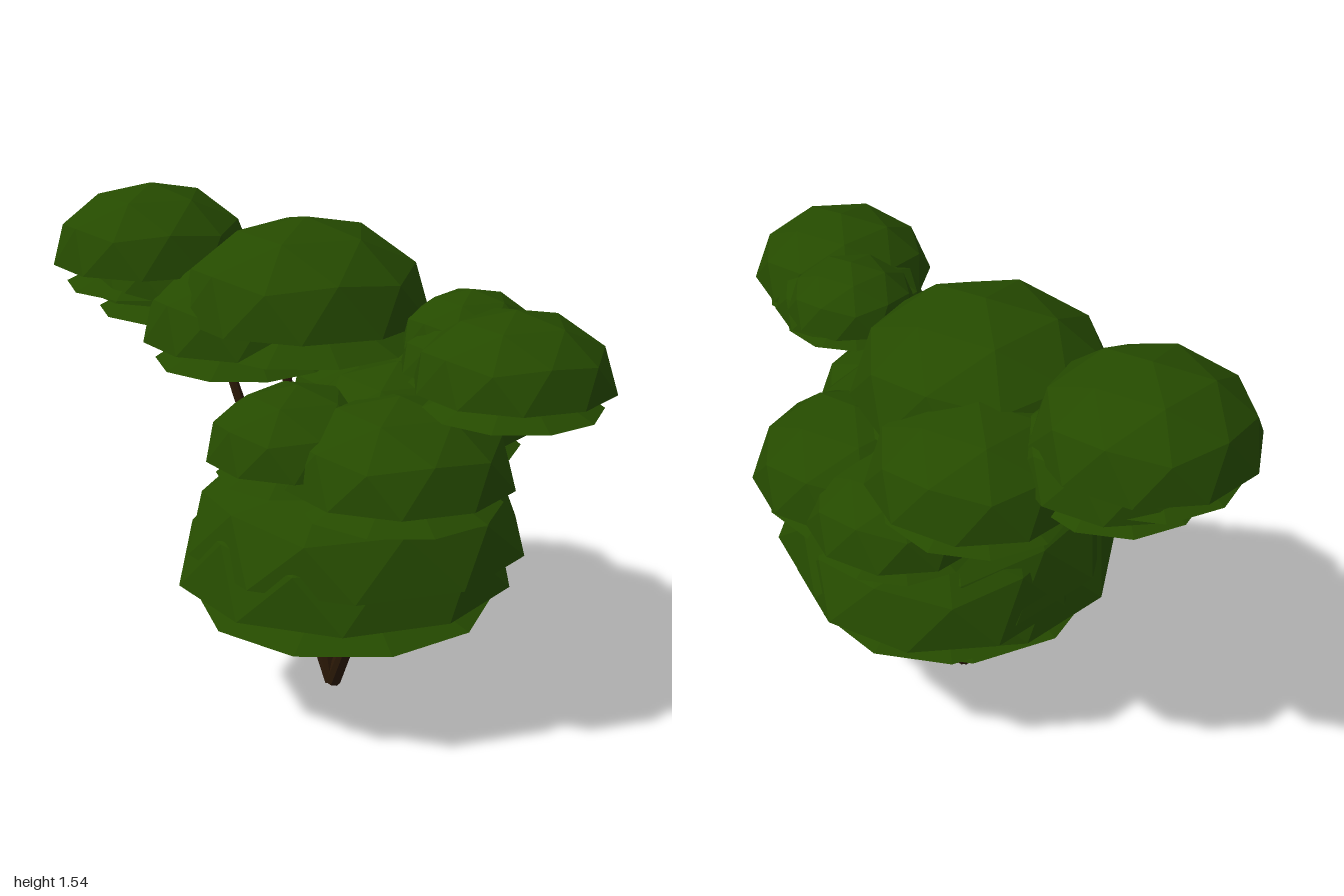
import * as THREE from 'three';

// Unit half icosphere, pole up
function makeDome() {
  const ball = new THREE.IcosahedronGeometry(1, 1);
  ball.rotateX(-Math.atan((1 + Math.sqrt(5)) / 2)).rotateY(Math.PI / 2);
  const src = ball.attributes.position.array;
  const points = [];
  for (let i = 0; i < src.length; i += 9) {
    if (Math.min(src[i + 1], src[i + 4], src[i + 7]) > -0.01) points.push(...src.slice(i, i + 9));
  }
  const dome = new THREE.BufferGeometry();
  dome.setAttribute('position', new THREE.Float32BufferAttribute(points, 3));
  dome.computeVertexNormals();
  return dome;
}

// Ten-sided flat-shaded surface of revolution
function makeRevolved(profile, start) {
  const points = profile.map(([x, y]) => new THREE.Vector2(x, y));
  const geo = new THREE.LatheGeometry(points, 10, start).toNonIndexed();
  geo.computeVertexNormals();
  return geo;
}

export function createModel() {
  const tree = new THREE.Group();
  tree.name = 'tree';
  const leaf = new THREE.MeshStandardMaterial({ color: 0x254a00, side: THREE.DoubleSide });
  leaf.name = 'leaf green';
  const bark = new THREE.MeshStandardMaterial({ color: 0x2a1806 });
  bark.name = 'bark brown';

  // Each clump: rounded top, flat rim, and a flat-bottomed skirt flaring out below it
  const clumpParts = {
    foliageDome: makeDome(),
    foliageRim: makeRevolved([[0.4, 0], [1, 0]], 0),
    foliageSkirt: makeRevolved([[0, -0.3], [0.88, -0.3], [0.4, 0]], Math.PI / 10),
  };

  // Foliage clumps: x, rim y, z, radius, height
  const clusters = {
    lowerFoliage: [
      [-0.06, 0.437, 0.085, 0.525, 0.335],
      [0.055, 0.5, -0.03, 0.447, 0.3],
      [-0.017, 0.53, 0.087, 0.533, 0.318],
    ],
    middleFoliage: [
      [-0.06, 0.81, 0.36, 0.348, 0.25],
      [-0.24, 0.85, 0.1, 0.28, 0.21],
      [0.275, 0.84, 0.085, 0.32, 0.24],
      [0.07, 0.81, 0.18, 0.33, 0.288],
      [0.245, 0.84, -0.18, 0.28, 0.212],
    ],
    upperFoliage: [
      [-0.17, 1.112, -0.3, 0.32, 0.25],
      [0.105, 1.105, -0.42, 0.32, 0.25],
      [-0.045, 1.2, -0.14, 0.393, 0.295],
    ],
    backFoliage: [
      [-0.21, 1.204, -0.64, 0.29, 0.22],
      [-0.27, 1.295, -0.682, 0.322, 0.245],
    ],
    frontFoliage: [
      [0.11, 1.157, 0.52, 0.24, 0.155],
      [0.06, 1.16, 0.715, 0.285, 0.212],
      [0.14, 1.2, 0.43, 0.203, 0.16],
    ],
  };
  for (const [name, list] of Object.entries(clusters)) {
    const cluster = new THREE.Group();
    cluster.name = name;
    for (const [x, y, z, r, h] of list) {
      const clump = new THREE.Group();
      clump.name = 'foliageClump';
      clump.position.set(x, y, z);
      clump.scale.set(r, h, r);
      for (const [part, geo] of Object.entries(clumpParts)) {
        const mesh = new THREE.Mesh(geo, leaf);
        mesh.name = part;
        clump.add(mesh);
      }
      cluster.add(clump);
    }
    tree.add(cluster);
  }

  // Straight tapering trunks fanning out from one foot
  const foot = new THREE.Vector3(-0.055, 0.005, 0.01);
  const trunks = {
    frontTrunk: [0.035, 1.18, 0.5],
    backTrunk: [-0.19, 1.12, -0.45],
    middleTrunk: [-0.14, 1.1, -0.13],
    sideTrunk: [0.3, 0.86, -0.09],
  };
  for (const [name, tip] of Object.entries(trunks)) {
    const dir = new THREE.Vector3(...tip).sub(foot);
    const geo = new THREE.CylinderGeometry(0.014, 0.026, dir.length(), 8).toNonIndexed();
    geo.computeVertexNormals();
    const trunk = new THREE.Mesh(geo, bark);
    trunk.name = name;
    trunk.position.copy(foot).addScaledVector(dir, 0.5);
    trunk.quaternion.setFromUnitVectors(new THREE.Vector3(0, 1, 0), dir.clone().normalize());
    tree.add(trunk);
  }
  return tree;
}
